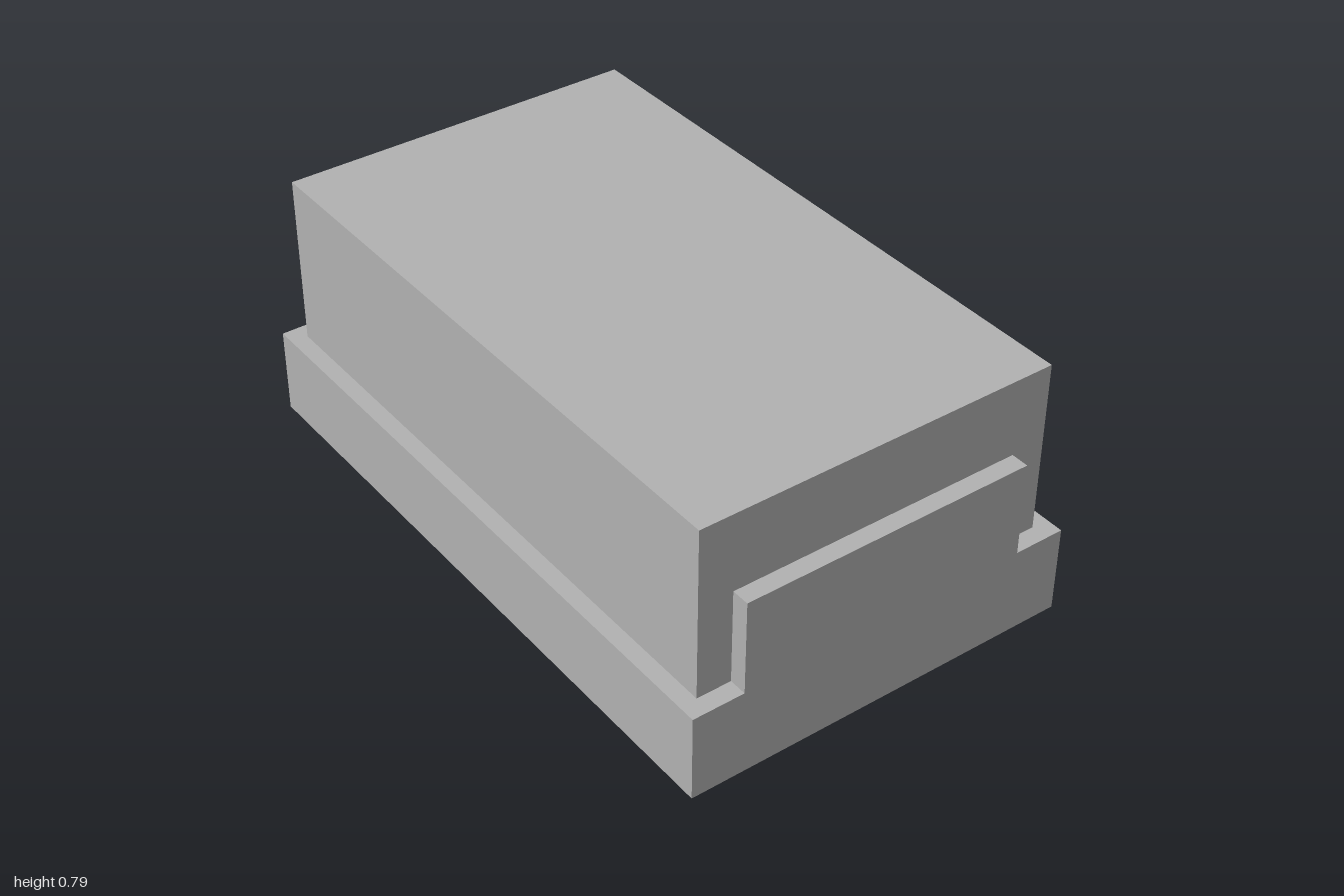
import * as THREE from 'three';

export function createModel() {
  const group = new THREE.Group();
  const grey = new THREE.MeshStandardMaterial({ color: 0xb2b2b2 });
  grey.name = 'grey';

  // Box given by half width, bottom, top, back and front
  function block(name, halfWidth, y0, y1, z0, z1) {
    const mesh = new THREE.Mesh(new THREE.BoxGeometry(2 * halfWidth, y1 - y0, z1 - z0), grey);
    mesh.position.set(0, (y0 + y1) / 2, (z0 + z1) / 2);
    mesh.name = name;
    group.add(mesh);
  }

  // Wide plinth, inset upper body, and the raised panel flush with the plinth's front
  block('base', 0.605, 0, 0.265, -1, 1);
  block('upperBody', 0.553, 0.265, 0.79, -0.946, 0.946);
  block('frontPanel', 0.448, 0.265, 0.553, 0.946, 1);

  return group;
}
